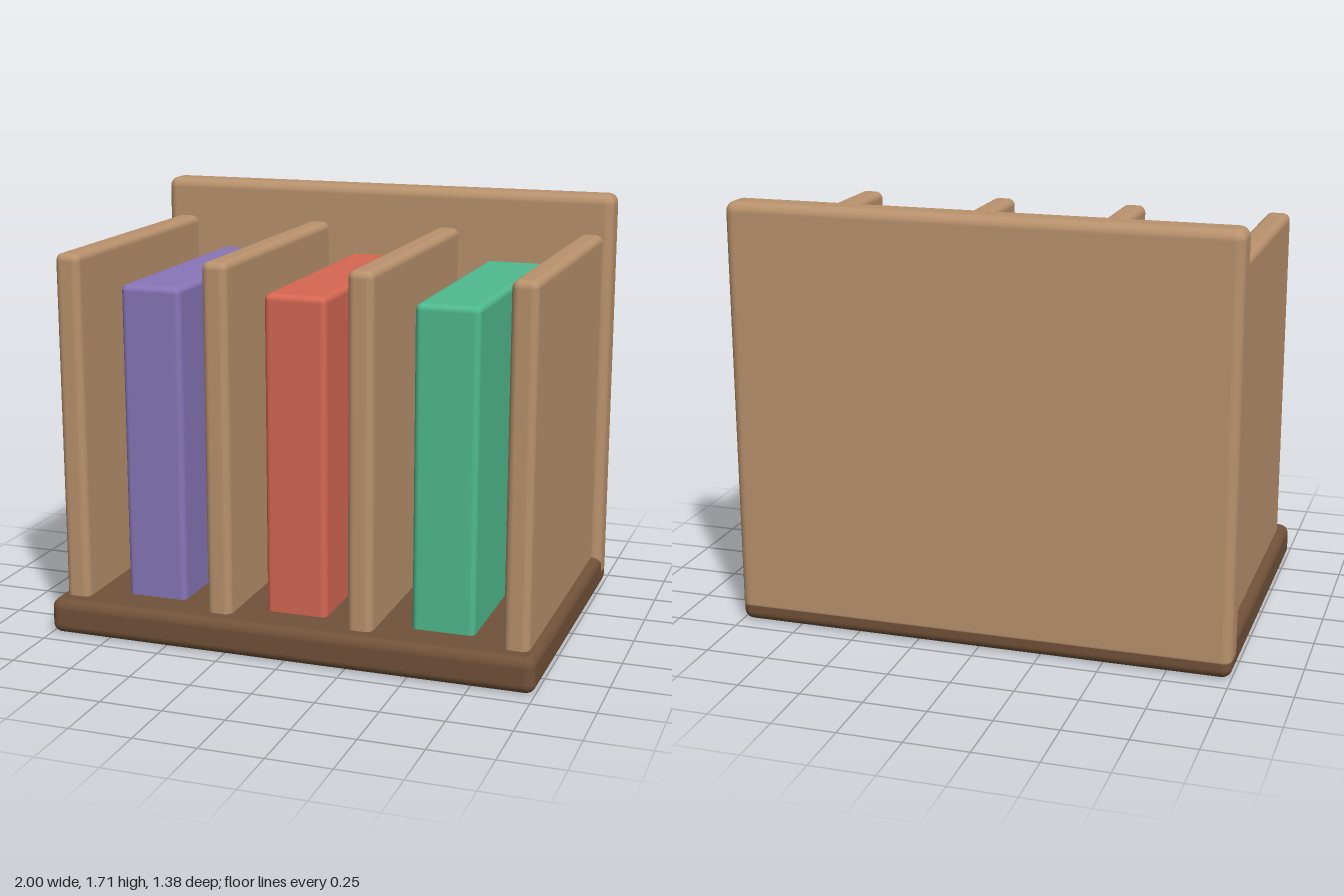
import * as THREE from 'three';
import { RoundedBoxGeometry } from 'three/addons/geometries/RoundedBoxGeometry.js';

const material = (name, color) => {
  const m = new THREE.MeshStandardMaterial({ color });
  m.name = name;
  return m;
};

export function createModel() {
  const group = new THREE.Group();
  group.name = 'bookRack';

  const tan = material('tan wood', 0xb9926d);
  const brown = material('dark wood', 0x725239);
  const purple = material('purple cover', 0x8776b8);
  const red = material('red cover', 0xd66853);
  const green = material('green cover', 0x4fba8f);

  // Rounded block given by its extents on each axis
  const block = (name, mat, [x0, x1], [y0, y1], [z0, z1], radius) => {
    const geo = new RoundedBoxGeometry(x1 - x0, y1 - y0, z1 - z0, 4, radius);
    const mesh = new THREE.Mesh(geo, mat);
    mesh.position.set((x0 + x1) / 2, (y0 + y1) / 2, (z0 + z1) / 2);
    mesh.name = name;
    group.add(mesh);
  };

  // Base board
  block('base', brown, [-1, 1], [0, 0.145], [-0.688, 0.688], 0.04);

  // Back panel, a hair proud of the base, its lower edge sunk into it
  block('backPanel', tan, [-1.001, 1.001], [0.035, 1.71], [-0.689, -0.548], 0.04);

  // Upright dividers, let into the base and back panel
  [-0.91, -0.292, 0.292, 0.91].forEach((x, i) =>
    block(`divider${i + 1}`, tan, [x - 0.051, x + 0.051], [0.09, 1.545], [-0.6, 0.617], 0.03));

  // Books standing between the dividers
  [['purpleBook', purple, -0.6], ['redBook', red, 0], ['greenBook', green, 0.6]].forEach(([name, mat, x]) =>
    block(name, mat, [x - 0.126, x + 0.126], [0.1, 1.42], [-0.527, 0.523], 0.025));

  return group;
}
